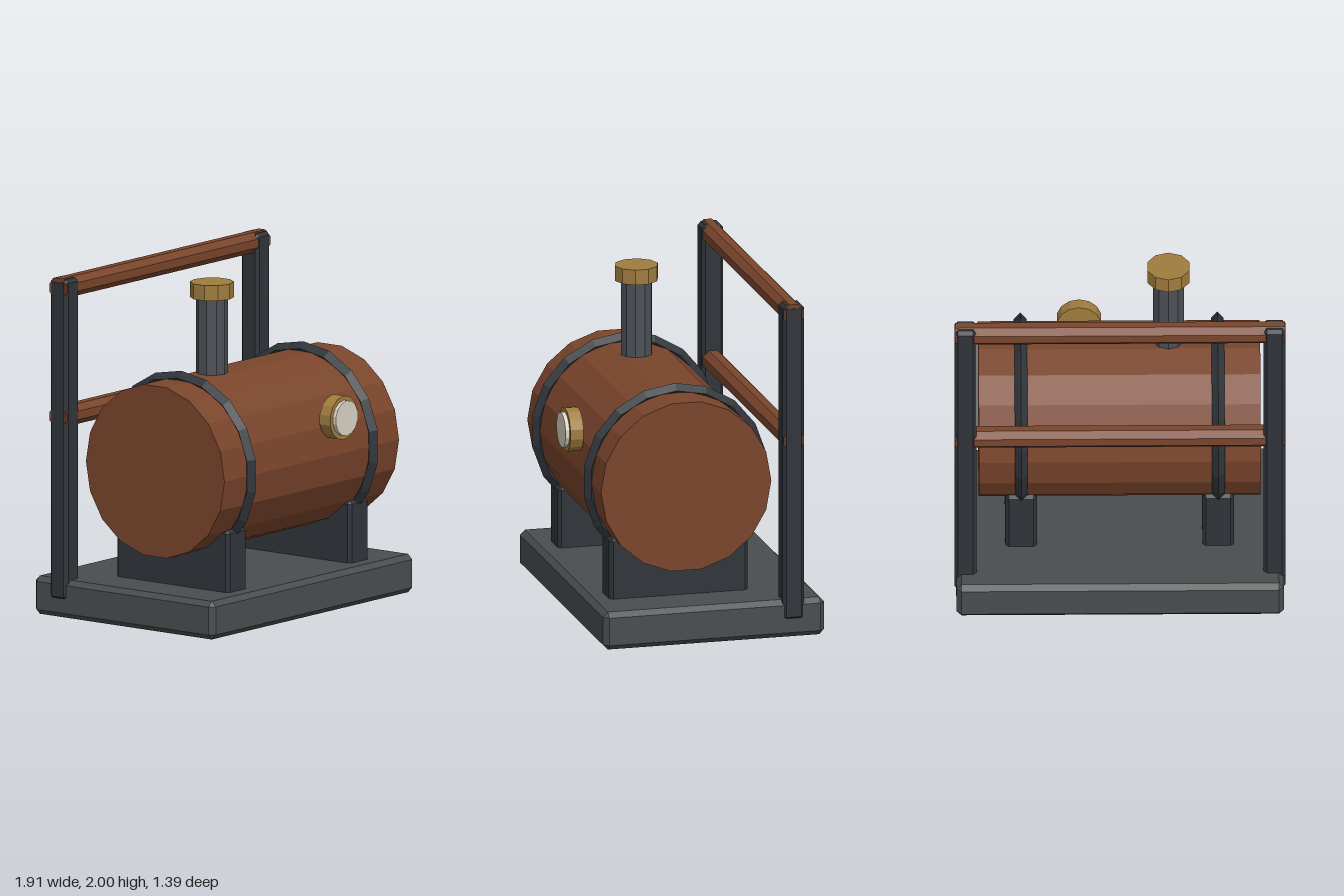
import * as THREE from 'three';
import { ConvexGeometry } from 'three/addons/geometries/ConvexGeometry.js';

const mat = (color) => new THREE.MeshStandardMaterial({ color, flatShading: true });

// Box with a flat chamfer along every edge
function chamferBox(w, h, d, c) {
  const points = [];
  for (const x of [-w / 2, w / 2])
    for (const y of [-h / 2, h / 2])
      for (const z of [-d / 2, d / 2]) {
        const sx = Math.sign(x) * c, sy = Math.sign(y) * c, sz = Math.sign(z) * c;
        points.push(
          new THREE.Vector3(x, y - sy, z - sz),
          new THREE.Vector3(x - sx, y, z - sz),
          new THREE.Vector3(x - sx, y - sy, z)
        );
      }
  return new ConvexGeometry(points);
}

export function createModel() {
  const model = new THREE.Group();
  const wood = mat(0x7a452c);
  const iron = mat(0x30353a);
  const stone = mat(0x4a4c4e);
  const pipe = mat(0x4c5157);
  const brass = mat(0xa07c3e);
  const glass = mat(0xd8d4c4);

  const add = (name, geometry, material, x, y, z) => {
    const mesh = new THREE.Mesh(geometry, material);
    mesh.name = name;
    mesh.position.set(x, y, z);
    model.add(mesh);
    return mesh;
  };

  const drumY = 0.915, drumZ = 0.103, postZ = -0.505;

  // Base slab
  add('base', chamferBox(1.894, 0.225, 1.325, 0.03), stone, 0, 0.1125, -0.033);

  // Horizontal drum
  add('drum', new THREE.CylinderGeometry(0.51, 0.51, 1.63, 18).rotateZ(Math.PI / 2), wood, 0, drumY, drumZ);

  // Cradles, hoops and frame posts, mirrored left and right
  for (const [side, s] of [['left', 1], ['right', -1]]) {
    add(side + 'Cradle', chamferBox(0.183, 0.42, 0.83, 0.02), iron, s * 0.57, 0.38, drumZ);
    const hoop = new THREE.TorusGeometry(0.518, 0.037, 4, 18).rotateZ(Math.PI / 2).rotateY(Math.PI / 2);
    add(side + 'Hoop', hoop, iron, s * 0.57, drumY, drumZ);
    add(side + 'Post', chamferBox(0.127, 1.89, 0.13, 0.02), iron, s * 0.893, 1.05, postZ);
  }

  // Octagonal rails between the posts
  for (const [name, y] of [['topRail', 1.94], ['lowerRail', 1.183]]) {
    const rail = new THREE.CylinderGeometry(0.065, 0.065, 1.91, 8).rotateY(Math.PI / 8).rotateZ(Math.PI / 2);
    add(name, rail, wood, 0, y, postZ);
  }

  // Chimney and its cap
  add('chimney', new THREE.CylinderGeometry(0.093, 0.093, 0.52, 10), pipe, -0.285, 1.61, drumZ);
  add('chimneyCap', new THREE.CylinderGeometry(0.128, 0.128, 0.09, 10), brass, -0.285, 1.907, drumZ);

  // Round gauge on the front of the drum
  add('gaugeRim', new THREE.CylinderGeometry(0.13, 0.13, 0.078, 14).rotateX(Math.PI / 2), brass, 0.2275, 1.14, 0.631);
  add('gaugeFace', new THREE.CylinderGeometry(0.104, 0.104, 0.06, 14).rotateX(Math.PI / 2), glass, 0.2275, 1.14, 0.663);

  return model;
}
